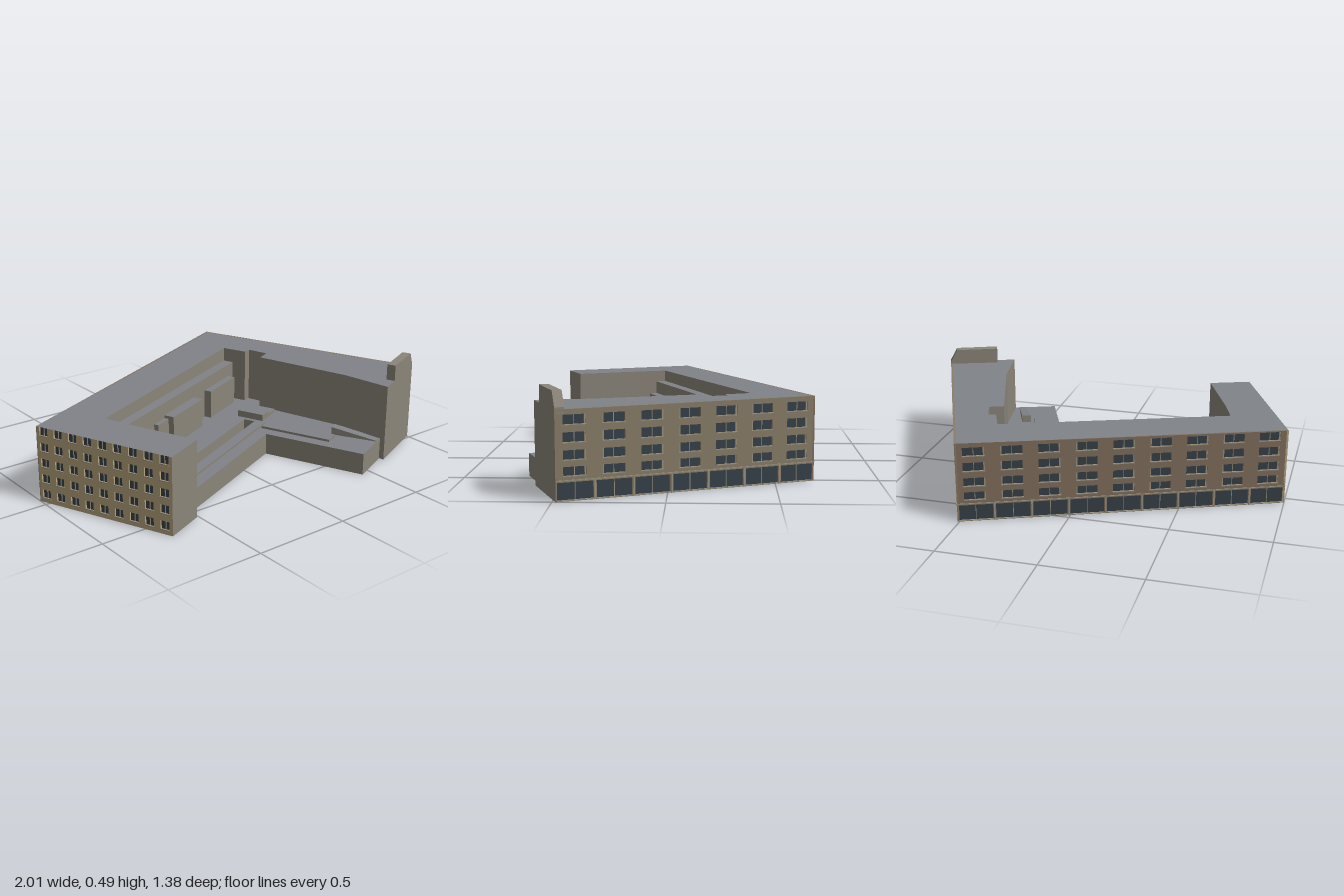
import * as THREE from 'three';
import { mergeGeometries } from 'three/addons/utils/BufferGeometryUtils.js';

const mat = (color) => new THREE.MeshStandardMaterial({ color, side: THREE.DoubleSide, flatShading: true });

const LONG = 1.638, DEEP = 1.27, WEST = 0.745;
const roofY = (s) => 0.39 + 0.02 * s / LONG;
const floorY = (s) => 0.1 + 0.012 * s;

export function createModel() {
  const stone = mat(0x8c857a), brick = mat(0x8a7d68), brown = mat(0x82705e), sand = mat(0xb8a67e);
  const roofGrey = mat(0x808388), glass = mat(0x37424a), frame = mat(0x9c937f);

  // Plan coordinates: x along the long back wing, z along the right wing
  const building = new THREE.Group();
  building.name = 'building';
  building.rotation.y = THREE.MathUtils.degToRad(22.9);
  building.position.set(-1, 0, -0.05);

  const add = (parent, name, geometry, material) => {
    const mesh = new THREE.Mesh(geometry, material);
    mesh.name = name;
    parent.add(mesh);
    return mesh;
  };

  // Hollow block: flat or sloping cap over a plan outline, with walls down to bottom(i);
  // a null bottom leaves that edge open
  function block(name, pts, top, bottom) {
    const cap = new THREE.ShapeGeometry(new THREE.Shape(pts.map(([s, t]) => new THREE.Vector2(s, -t))));
    cap.rotateX(-Math.PI / 2);
    const p = cap.attributes.position;
    for (let i = 0; i < p.count; i++) p.setY(i, top(p.getX(i), p.getZ(i)));
    cap.computeVertexNormals();
    add(building, name + 'Top', cap, roofGrey);

    const pos = [];
    pts.forEach(([s0, t0], i) => {
      const low = bottom(i);
      if (low === null) return;
      const [s1, t1] = pts[(i + 1) % pts.length];
      const a = [s0, low, t0], b = [s1, low, t1];
      const c = [s1, top(s1, t1), t1], d = [s0, top(s0, t0), t0];
      pos.push(...a, ...c, ...b, ...a, ...d, ...c);
    });
    const walls = new THREE.BufferGeometry();
    walls.setAttribute('position', new THREE.Float32BufferAttribute(pos, 3));
    walls.computeVertexNormals();
    add(building, name + 'Walls', walls, stone);
  }
  const rect = (s0, s1, t0, t1) => [[s0, t0], [s1, t0], [s1, t1], [s0, t1]];

  // U-shaped main building; the three street sides get facades instead of plain walls
  const main = [[0, 0], [LONG, 0], [LONG, DEEP], [1.27, DEEP], [1.33, 1.01], [1.374, 0.489], [1.45, 0.487],
    [1.46, 0.375], [1.42, 0.37], [1.42, 0.235], [0.235, 0.235], [0.225, 0.387], [0.22, WEST], [0, WEST]];
  const open = [0, 1, 13];
  const toGround = [2, 3, 11, 12];
  block('mainRoof', main, roofY, (i) => open.includes(i) ? null : toGround.includes(i) ? 0 : 0.1);

  // Set-back upper terrace and the lower bays in front of it
  block('terrace', rect(0.235, 1.42, 0.235, 0.29), () => 0.333, (i) => i === 2 ? 0.1 : null);
  [[0.25, 0.48, 0.335], [0.68, 0.98, 0.345], [1.1, 1.37, 0.33]].forEach(([a, b, t]) =>
    block('courtyardBay', rect(a, b, 0.29, t), () => 0.265, (i) => i ? 0.1 : null));
  block('courtyardBayLink', rect(0.58, 0.68, 0.29, 0.315), () => 0.25, (i) => i ? 0.1 : null);

  // Courtyard deck with a long open slot, wrapping into the front podium
  const deck = [[0.225, 0.29], [1.42, 0.29], [1.42, 0.37], [1.46, 0.375], [1.45, 0.487], [1.374, 0.489],
    [1.33, 1.01], [1.27, 1.245], [1.04, 1.245], [1.04, 0.696], [0.22, 0.696], [0.22, 0.57],
    [1.167, 0.57], [1.167, 0.5], [0.225, 0.5]];
  block('courtyardDeck', deck, floorY, (i) => i >= 7 && i !== 10 ? 0 : null);

  // Low raised features on the deck
  const raise = (name, pts, h) => block(name, pts, (s) => floorY(s) + h, (i) => 0.1);
  raise('longPlanter', rect(0.225, 1.16, 0.575, 0.63), 0.012);
  raise('cornerPlanter', rect(1.19, 1.26, 0.45, 0.6), 0.035);
  raise('cornerStep', rect(1.26, 1.34, 0.5, 0.6), 0.018);
  raise('sidePlanter', rect(1.1, 1.18, 0.64, 1.03), 0.012);
  block('ramp', [[1.2, 1.0], [1.25, 1.0], [1.25, 1.24], [1.22, 1.24]],
    (s, t) => 0.155 - 0.15 * (t - 1.0), () => 0.1);

  // Raised end parapet with a sloping shoulder
  const end = new THREE.Shape([[1.37, 0.39], [LONG, 0.39], [LONG, 0.42], [1.6, 0.49], [1.37, 0.49]]
    .map(([x, y]) => new THREE.Vector2(x, y)));
  const parapet = new THREE.ExtrudeGeometry(end, { depth: 0.045, bevelEnabled: false });
  parapet.translate(0, 0, DEEP - 0.045);
  add(building, 'endParapet', parapet, stone);

  // Street facade: pierced panel, recessed glass and frames; openings are [x0, x1, y0, y1, mullions]
  function facade(name, length, leftTop, rightTop, material, openings, trims) {
    const group = new THREE.Group();
    group.name = name;
    const shape = new THREE.Shape();
    shape.moveTo(0, 0).lineTo(length, 0).lineTo(length, rightTop).lineTo(0, leftTop).closePath();
    const panes = [], bars = [];
    const bar = (x, y, w, h, z, d) => bars.push(new THREE.BoxGeometry(w, h, d).translate(x, y, z));
    openings.forEach(([x0, x1, y0, y1, n]) => {
      const hole = new THREE.Path();
      hole.moveTo(x0, y0).lineTo(x0, y1).lineTo(x1, y1).lineTo(x1, y0).closePath();
      shape.holes.push(hole);
      const w = x1 - x0, h = y1 - y0, cx = (x0 + x1) / 2, cy = (y0 + y1) / 2;
      panes.push(new THREE.PlaneGeometry(w, h).translate(cx, cy, -0.009));
      for (let k = 1; k <= n; k++) bar(x0 + w * k / (n + 1), cy, 0.003, h, -0.007, 0.004);
      bar(cx, y0, w + 0.004, 0.004, -0.002, 0.008);
    });
    trims.forEach((t) => bar(...t));
    const panel = new THREE.ExtrudeGeometry(shape, { depth: 0.01, bevelEnabled: false }).translate(0, 0, -0.01);
    add(group, name + 'Wall', panel, material);
    add(group, name + 'Glass', mergeGeometries(panes), glass);
    add(group, name + 'Frames', mergeGeometries(bars), frame);
    building.add(group);
    return group;
  }

  // Shopfronts below four rows of paired windows
  function shopBays(length, count) {
    const openings = [], trims = [[length / 2, 0.093, length, 0.005, 0.001, 0.004]];
    const bay = length / count;
    for (let i = 0; i < count; i++) {
      const x = i * bay;
      openings.push([x + 0.007, x + bay - 0.007, 0.004, 0.085, 1]);
      [[0.112, 0.154], [0.184, 0.228], [0.262, 0.308], [0.341, 0.388]].forEach(([y0, y1], row) => {
        const top = Math.min(y1, 0.38 + (row === 3 ? 0.006 : 0));
        openings.push([x + bay * 0.2, x + bay * 0.78, y0, top, 1]);
        // Pale jamb panel, swapping sides from bay to bay
        trims.push([x + bay * (i % 2 ? 0.215 : 0.765), (y0 + top) / 2, 0.008, top - y0, -0.006, 0.006]);
      });
      if (i) trims.push([x, 0.044, 0.008, 0.088, 0.001, 0.004]);
    }
    return [openings, trims];
  }
  const back = facade('backFacade', LONG, 0.41, 0.39, brown, ...shopBays(LONG, 9));
  back.position.set(LONG, 0, 0);
  back.rotation.y = Math.PI;
  const side = facade('sideFacade', DEEP, 0.41, 0.41, brick, ...shopBays(DEEP, 7));
  side.position.set(LONG, 0, DEEP);
  side.rotation.y = Math.PI / 2;

  // Narrow end facade with a regular grid of upright windows
  const grid = [];
  for (let c = 0; c < 9; c++) {
    const x = (c + 0.5) * WEST / 9;
    for (let r = 0; r < 5; r++) grid.push([x - 0.023, x + 0.023, 0.022 + r * 0.081, 0.066 + r * 0.081, 1]);
  }
  const west = facade('endFacade', WEST, 0.39, 0.39, sand, grid, []);
  west.rotation.y = -Math.PI / 2;

  const model = new THREE.Group();
  model.name = 'courtyardBuilding';
  model.add(building);
  return model;
}
